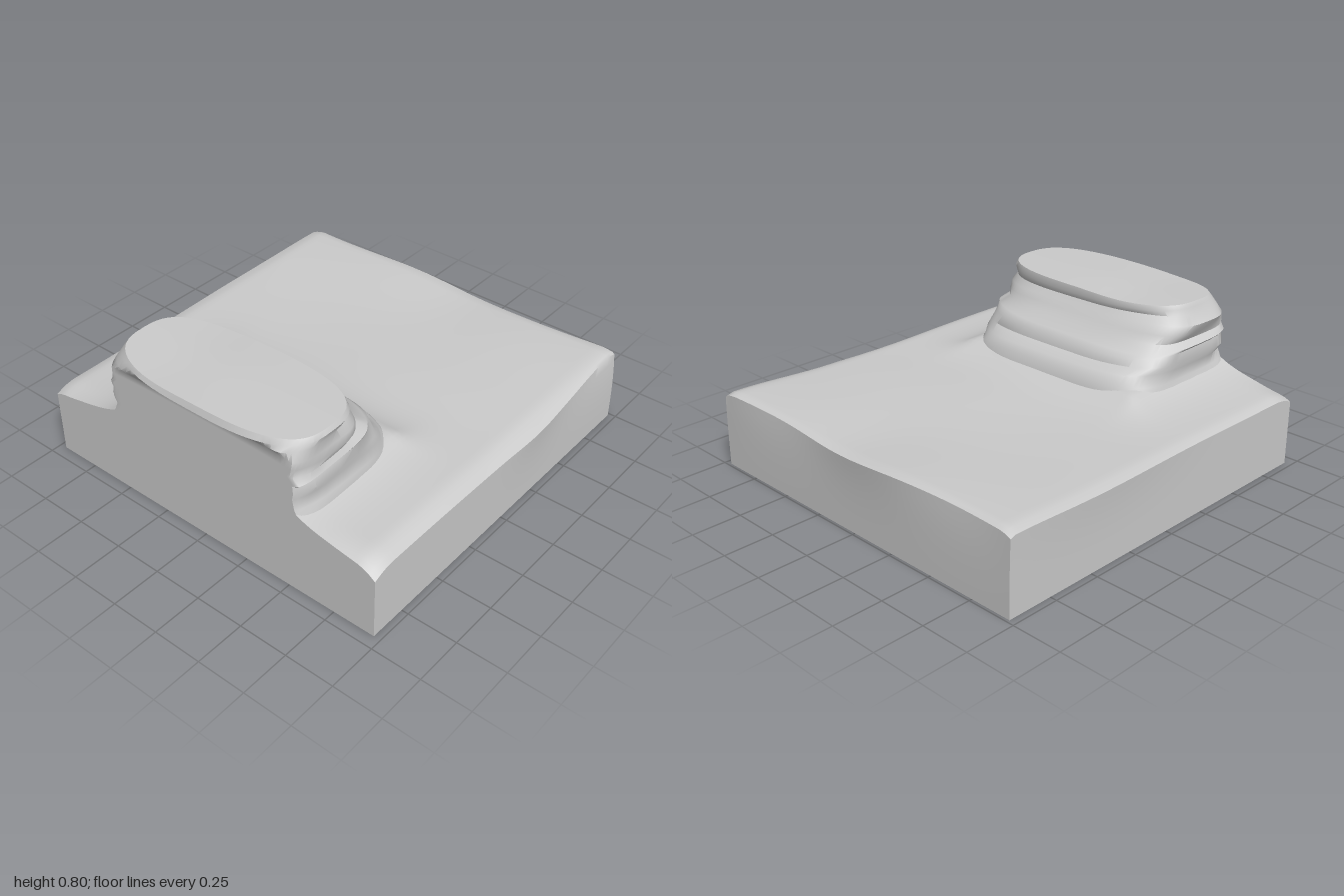
import * as THREE from 'three';
import { mergeVertices, toCreasedNormals } from 'three/addons/utils/BufferGeometryUtils.js';

const X0 = -0.94, X1 = 0.985, Z = 0.965;
const bump = (x, c, w) => Math.exp(-(((x - c) / w) ** 2));

// Ground height: gentle swells, soft rim, and a skirt rising against the outcrop
function groundHeight(x, z) {
  let y = 0.378 + 0.018 * bump(x, 0.95, 0.35) * (1 - bump(z, 0.1, 0.3))
    - 0.012 * bump(x, -0.1, 0.25) * bump(z, 0.5, 0.4)
    + 0.006 * Math.sin(3.1 * x + 1) * Math.sin(4.2 * z);
  const dx = Math.max(0, x + 0.26), dz = Math.max(0, Math.abs(z) - 0.53);
  y += 0.07 * Math.exp(-Math.hypot(dx, dz) / 0.12);
  const rim = (d, w, h) => h * Math.max(0, 1 - d / w) ** 2;
  y -= rim(Z - z, 0.1, 0.04 - 0.02 * bump(x, 0.9, 0.5));
  y -= rim(z + Z, 0.06, 0.015);
  y -= rim(X1 - x, 0.04, 0.01);
  // Left rim dips towards the two corners
  return y - rim(x - X0, 0.12, 0.03 * bump(Math.abs(z), 0.97, 0.2));
}

function slabGeometry() {
  const box = new THREE.BoxGeometry(X1 - X0, 1, 2 * Z, 64, 8, 64);
  box.translate((X0 + X1) / 2, 0.5, 0);
  box.deleteAttribute('uv');
  box.deleteAttribute('normal');
  const g = mergeVertices(box), p = g.attributes.position;
  for (let i = 0; i < p.count; i++) {
    const x = p.getX(i), z = p.getZ(i), t = p.getY(i);
    p.setY(i, t * groundHeight(x, z));
    // Uneven upper edges, fading out towards the base
    const edge = t * t * t;
    if (x > X1 - 0.001) p.setX(i, x + 0.012 * edge * Math.sin(5 * z + 2));
    if (z > Z - 0.001) p.setZ(i, z + edge * (0.012 * bump(x, 0.25, 0.2) - 0.02 * bump(x, 0.9, 0.3)));
    if (z < -Z + 0.001) p.setZ(i, z - 0.012 * edge * bump(x, 0.4, 0.5));
  }
  return toCreasedNormals(g, 0.7);
}

// Outcrop rings: height, left, right, half depth, centre z, roundness exponent
const RINGS = [
  [0.30, -1.06, -0.19, 0.60, 0.00, 4.5],
  [0.41, -1.06, -0.21, 0.595, 0.00, 4.5],
  [0.455, -1.06, -0.225, 0.575, 0.00, 4.2],
  [0.50, -1.06, -0.25, 0.568, 0.00, 4.0],
  [0.53, -1.06, -0.31, 0.582, 0.00, 4.0],
  [0.575, -1.06, -0.32, 0.572, 0.00, 3.8],
  [0.595, -1.06, -0.35, 0.585, 0.00, 3.8],
  [0.63, -1.06, -0.41, 0.562, 0.00, 3.6],
  [0.665, -1.05, -0.43, 0.575, 0.00, 3.5],
  [0.70, -1.04, -0.46, 0.582, 0.00, 3.4],
  [0.735, -1.02, -0.485, 0.56, 0.01, 3.2],
  [0.765, -1.00, -0.475, 0.562, 0.02, 3.0],
  [0.788, -0.99, -0.48, 0.55, 0.02, 2.9],
];
const SIDES = 72;

function ringPoint(ring, k, index) {
  const [y, l, r, d, cz, n] = ring;
  const a = (k / SIDES) * Math.PI * 2, c = Math.cos(a), s = Math.sin(a);
  const pow = (v) => Math.sign(v) * Math.abs(v) ** (2 / n);
  const wob = 1 + 0.008 * Math.sin(3 * a + index * 1.3) + 0.006 * Math.sin(7 * a + index * 2.1);
  let x = (l + r) / 2 + ((r - l) / 2) * pow(c) * (index > 10 ? 1 : wob);
  const z = cz + d * pow(s) * (index > 10 ? 1 : wob);
  // Lower rings are cut flush with the slab's side
  if (y < 0.72) x = Math.max(x, X0);
  else if (y < 0.75) x = Math.max(x, -0.96);
  const wave = y > 0.42 ? 0.009 * Math.sin(2 * a + index) : 0;
  return [x, y + (index === RINGS.length - 1 ? topWave(x, z) : wave), z];
}
function topWave(x, z) {
  return 0.008 * bump(x, -0.7, 0.2) - 0.008 * bump(z, -0.25, 0.2);
}

function outcropGeometry() {
  const pos = [], idx = [], R = RINGS.length;
  RINGS.forEach((ring, j) => {
    for (let k = 0; k < SIDES; k++) pos.push(...ringPoint(ring, k, j));
  });
  // Top surface shrinks in loops to its centre
  const loops = 5, cx = -0.735, cz = 0.02;
  for (let j = 1; j <= loops; j++) {
    const f = 1 - j / loops;
    for (let k = 0; k < SIDES; k++) {
      const [x, , z] = ringPoint(RINGS[R - 1], k, R - 1);
      const px = cx + (x - cx) * f, pz = cz + (z - cz) * f;
      pos.push(px, 0.788 + topWave(px, pz), pz);
    }
  }
  for (let j = 0; j < R + loops - 1; j++) {
    for (let k = 0; k < SIDES; k++) {
      const a = j * SIDES + k, b = j * SIDES + ((k + 1) % SIDES);
      idx.push(a, a + SIDES, b);
      if (j < R + loops - 2) idx.push(b, a + SIDES, b + SIDES);
    }
  }
  const g = new THREE.BufferGeometry();
  g.setAttribute('position', new THREE.Float32BufferAttribute(pos, 3));
  g.setIndex(idx);
  return toCreasedNormals(g, 0.75);
}

export function createModel() {
  const group = new THREE.Group();
  const material = new THREE.MeshStandardMaterial({ color: 0xcccccc });
  const add = (name, geometry) => {
    const mesh = new THREE.Mesh(geometry, material);
    mesh.name = name;
    group.add(mesh);
  };
  add('groundSlab', slabGeometry());
  add('rockOutcrop', outcropGeometry());
  return group;
}
